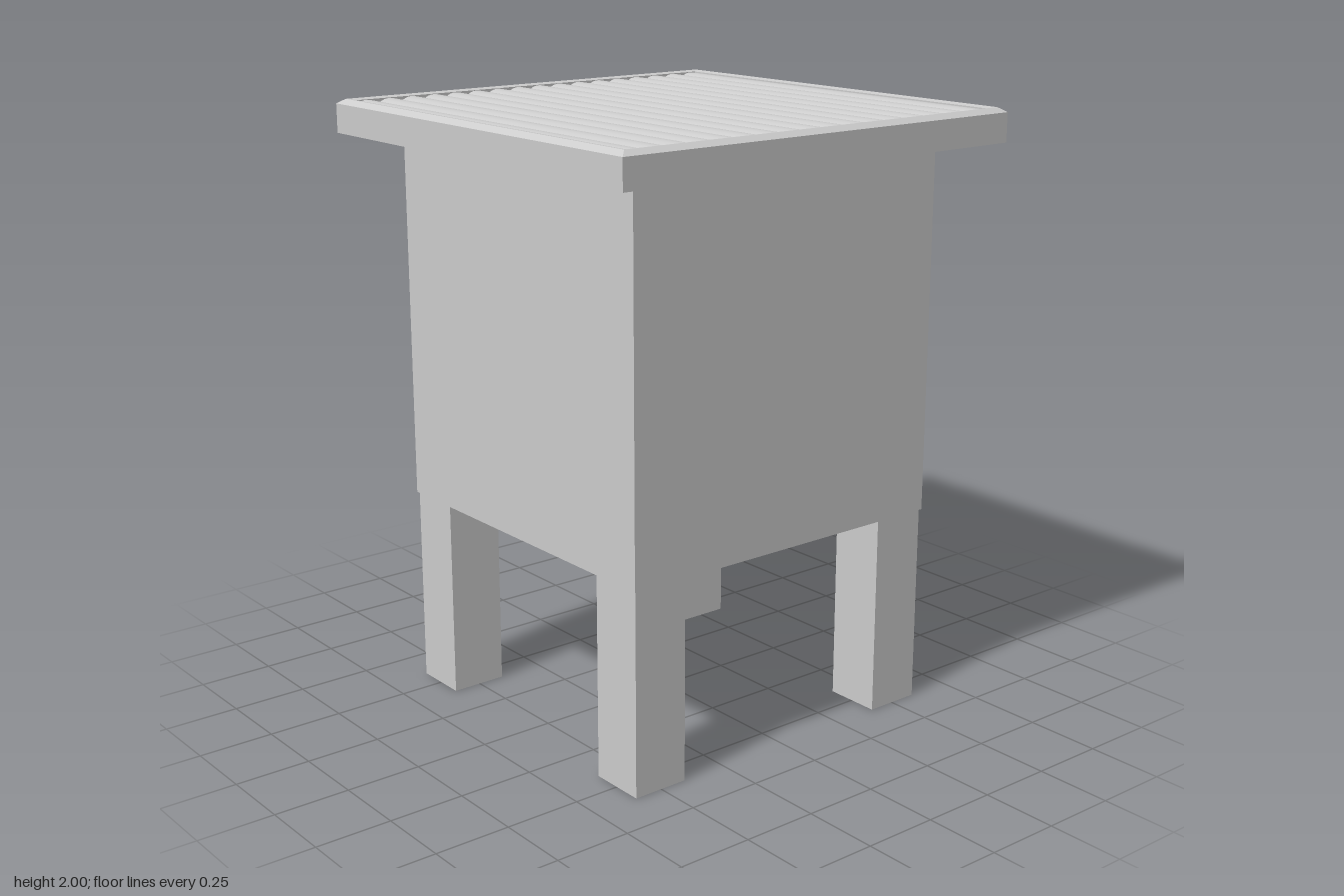
import * as THREE from 'three';

export function createModel() {
  const group = new THREE.Group();
  const smooth = new THREE.MeshStandardMaterial({ color: 0xcccccc });
  const flat = new THREE.MeshStandardMaterial({ color: 0xcccccc, flatShading: true });

  function add(name, geometry, material, x = 0, y = 0, z = 0) {
    const mesh = new THREE.Mesh(geometry, material);
    mesh.name = name;
    mesh.position.set(x, y, z);
    group.add(mesh);
    return mesh;
  }

  // Square ring or slab swept from a half-width / height profile
  function squareSweep(profile) {
    const points = profile.map(([r, y]) => new THREE.Vector2(r * Math.SQRT2, y));
    return new THREE.LatheGeometry(points, 4, Math.PI / 4).toNonIndexed();
  }

  // Cabinet body
  add('body', new THREE.BoxGeometry(1.206, 1.21, 1.206), flat, 0, 1.275, 0);

  // Four square legs
  const legGeometry = new THREE.BoxGeometry(0.19, 0.68, 0.19);
  for (const sx of [-1, 1]) {
    for (const sz of [-1, 1]) add('leg', legGeometry, flat, sx * 0.502, 0.34, sz * 0.502);
  }

  // Overhanging top with a bevelled rim and a sunken floor
  add('topFrame', squareSweep([
    [0, 1.875], [0.6, 1.875], [0.758, 1.89], [0.758, 1.985],
    [0.735, 2], [0.71, 1.996], [0.71, 1.965], [0, 1.965],
  ]), flat);

  // Rounded slats running across the top
  const slatGeometry = new THREE.CylinderGeometry(0.0425, 0.0425, 1.42, 24);
  slatGeometry.rotateZ(Math.PI / 2);
  slatGeometry.scale(1, 0.6, 1);
  for (let i = 0; i < 17; i++) add('slat', slatGeometry, smooth, 0, 1.969, -0.6875 + i * 0.085);

  // Two drawers with turned knobs on the back
  const drawerGeometry = new THREE.BoxGeometry(1, 0.335, 0.03);
  const knobProfile = [
    [0.024, 0], [0.022, 0.005], [0.014, 0.01], [0.012, 0.026], [0.018, 0.031],
    [0.036, 0.035], [0.039, 0.042], [0.034, 0.051], [0.02, 0.059], [0, 0.062],
  ].map(([r, y]) => new THREE.Vector2(r, y));
  const knobGeometry = new THREE.LatheGeometry(knobProfile, 24);
  knobGeometry.rotateX(-Math.PI / 2);
  for (const y of [1.158, 1.593]) {
    add('drawer', drawerGeometry, flat, 0, y, -0.613);
    add('knob', knobGeometry, smooth, 0, y - 0.016, -0.627);
  }

  return group;
}
